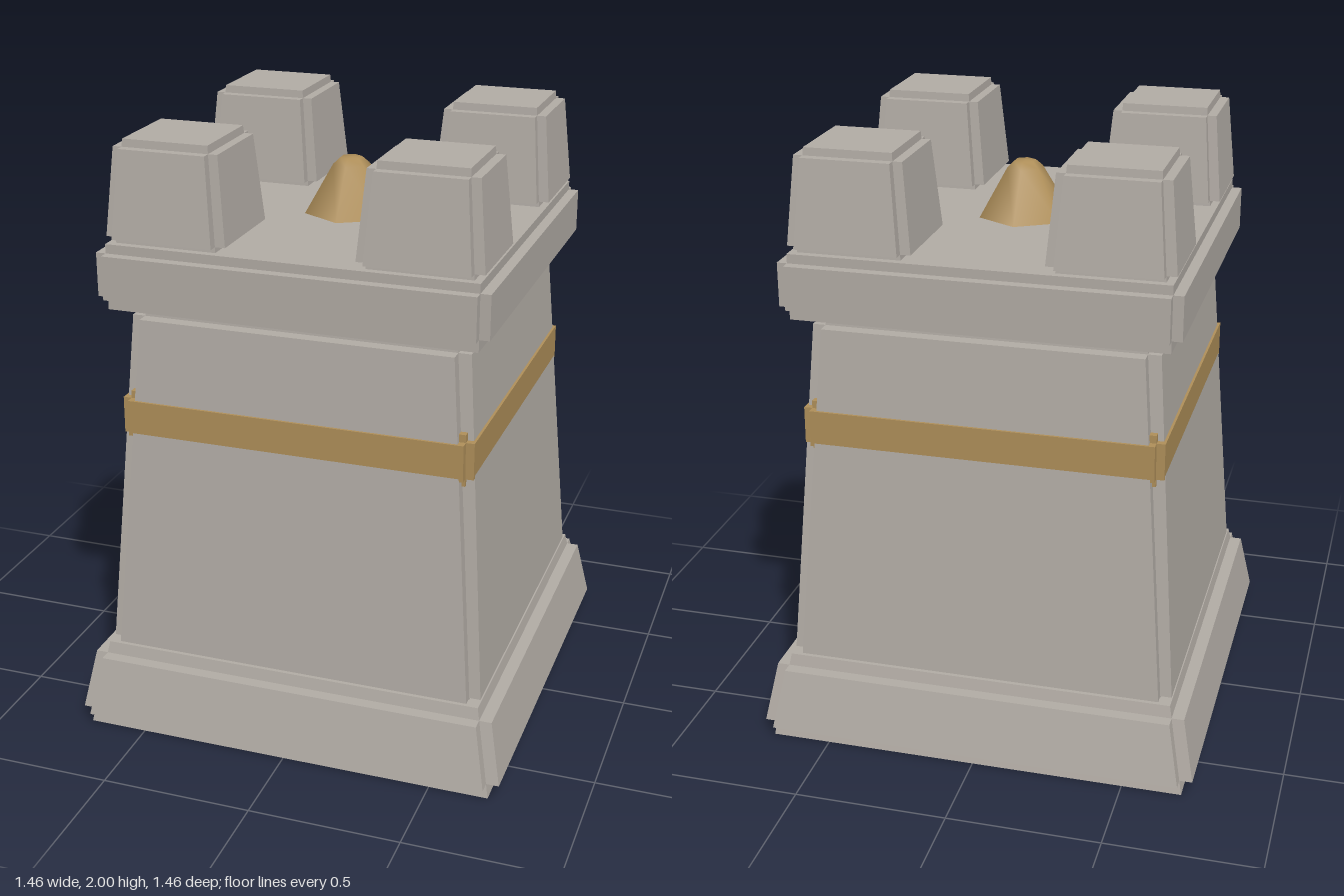
import * as THREE from 'three';

// Box from y0 to y1 with half-sizes [x, z] at the bottom and at the top
function taperedBox(y0, y1, bottom, top) {
  const g = new THREE.BoxGeometry(2, 1, 2);
  const p = g.attributes.position;
  for (let i = 0; i < p.count; i++) {
    const up = p.getY(i) > 0;
    const half = up ? top : bottom;
    p.setXYZ(i, p.getX(i) * half[0], up ? y1 : y0, p.getZ(i) * half[1]);
  }
  g.computeVertexNormals();
  return g;
}

// Stone block with stepped-in edges: a tall core and two crossing slabs.
// core and face are [yBottom, yTop, halfBottom, halfTop]
function notchedBlock(name, core, face, material) {
  const group = new THREE.Group();
  group.name = name;
  const [c0, c1, cb, ct] = core;
  const [f0, f1, fb, ft] = face;
  const coreAt = (y) => cb + (ct - cb) * (y - c0) / (c1 - c0);
  const ib = coreAt(f0), it = coreAt(f1);
  const add = (part, geometry) => {
    const mesh = new THREE.Mesh(geometry, material);
    mesh.name = name + part;
    group.add(mesh);
  };
  add('Core', taperedBox(c0, c1, [cb, cb], [ct, ct]));
  add('SideFaces', taperedBox(f0, f1, [fb, ib], [ft, it]));
  add('FrontBackFaces', taperedBox(f0, f1, [ib, fb], [it, ft]));
  return group;
}

export function createModel() {
  const model = new THREE.Group();
  model.name = 'tower';
  const stone = new THREE.MeshStandardMaterial({ color: 0xb3ada6 });
  stone.name = 'stone';
  const gold = new THREE.MeshStandardMaterial({ color: 0xb0905a });
  gold.name = 'gold';

  // Stacked tower sections
  model.add(
    notchedBlock('base', [0, 0.29, 0.695, 0.64], [0.047, 0.25, 0.728, 0.688], stone),
    notchedBlock('shaft', [0.25, 1.467, 0.605, 0.51], [0.297, 1.425, 0.638, 0.555], stone),
    notchedBlock('band', [1.01, 1.18, 0.557, 0.555], [1.035, 1.155, 0.583, 0.583], gold),
    notchedBlock('cornice', [1.465, 1.677, 0.597, 0.597], [1.505, 1.647, 0.63, 0.63], stone)
  );

  // Four corner battlements
  for (const sx of [-1, 1]) {
    for (const sz of [-1, 1]) {
      const merlon = notchedBlock('battlement',
        [1.66, 2, 0.168, 0.14], [1.695, 1.975, 0.198, 0.172], stone);
      merlon.position.set(sx * 0.406, 0, sz * 0.406);
      model.add(merlon);
    }
  }

  // Six-sided finial in the middle of the roof
  const profile = [[0.154, 1.677], [0.06, 1.837], [0.036, 1.858], [0, 1.86]]
    .map(([r, y]) => new THREE.Vector2(r, y));
  const finial = new THREE.Mesh(new THREE.LatheGeometry(profile, 6), gold);
  finial.name = 'finial';
  model.add(finial);

  return model;
}
